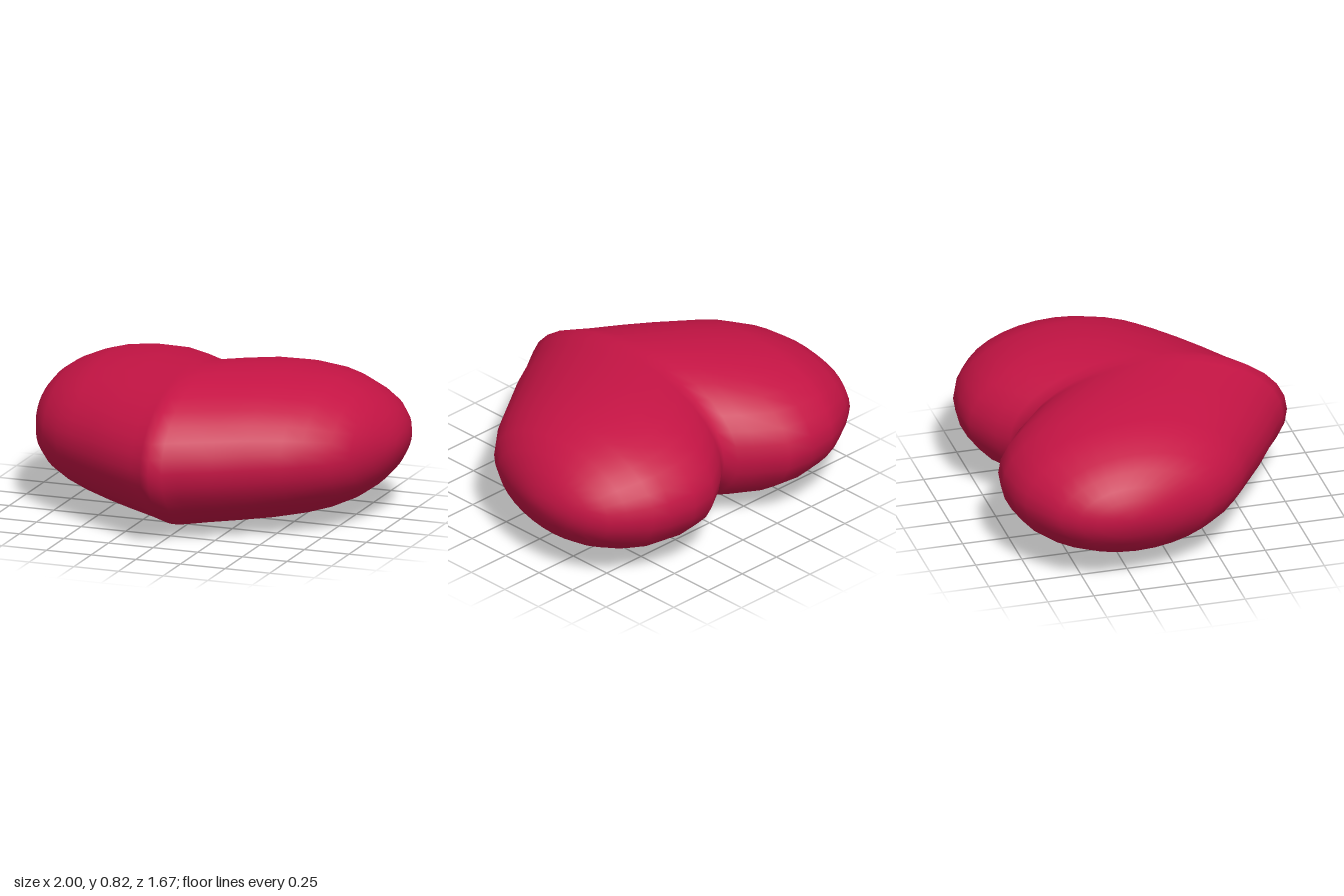
import * as THREE from 'three';

// Half profile of the heart: x, centre z, half depth, half height of each elliptical slice
const HALF = [
  [0, 0.11, 0.72, 0.408],
  [0.06, 0.068, 0.723, 0.407],
  [0.13, 0.015, 0.73, 0.405],
  [0.28, -0.078, 0.738, 0.4],
  [0.43, -0.138, 0.698, 0.389],
  [0.59, -0.18, 0.635, 0.363],
  [0.68, -0.193, 0.588, 0.337],
  [0.8, -0.21, 0.5, 0.284],
  [0.88, -0.237, 0.412, 0.228],
  [0.94, -0.27, 0.29, 0.163],
  [0.975, -0.285, 0.19, 0.105],
  [0.993, -0.285, 0.1, 0.052],
];
const CENTRE_Y = 0.408;
const SEGMENTS = 32;

function heartGeometry() {
  // Mirror the half profile so the slices run from the right lobe to the left lobe
  const mirrored = HALF.slice(1).reverse().map(([x, ...rest]) => [-x, ...rest]);
  const slices = [...mirrored, ...HALF];
  const positions = [];
  const index = [];

  for (const [x, cz, depth, height] of slices) {
    for (let j = 0; j < SEGMENTS; j++) {
      const t = (j / SEGMENTS) * Math.PI * 2;
      positions.push(x, CENTRE_Y + height * Math.sin(t), cz + depth * Math.cos(t));
    }
  }

  // Skin between neighbouring slices
  for (let i = 0; i < slices.length - 1; i++) {
    for (let j = 0; j < SEGMENTS; j++) {
      const k = (j + 1) % SEGMENTS;
      const a = i * SEGMENTS + j, c = i * SEGMENTS + k;
      const b = a + SEGMENTS, d = c + SEGMENTS;
      index.push(a, b, c, b, d, c);
    }
  }

  // Close both sides with a pole
  const right = slices.length * SEGMENTS;
  const left = right + 1;
  const last = (slices.length - 1) * SEGMENTS;
  positions.push(-1, CENTRE_Y, -0.28, 1, CENTRE_Y, -0.28);
  for (let j = 0; j < SEGMENTS; j++) {
    const k = (j + 1) % SEGMENTS;
    index.push(right, j, k, left, last + k, last + j);
  }

  const geometry = new THREE.BufferGeometry();
  geometry.setAttribute('position', new THREE.Float32BufferAttribute(positions, 3));
  geometry.setIndex(index);
  geometry.computeVertexNormals();
  return geometry;
}

export function createModel() {
  const group = new THREE.Group();
  group.name = 'heartModel';
  const heart = new THREE.Mesh(
    heartGeometry(),
    new THREE.MeshStandardMaterial({ color: 0xc41444 })
  );
  heart.name = 'heart';
  group.add(heart);
  return group;
}
